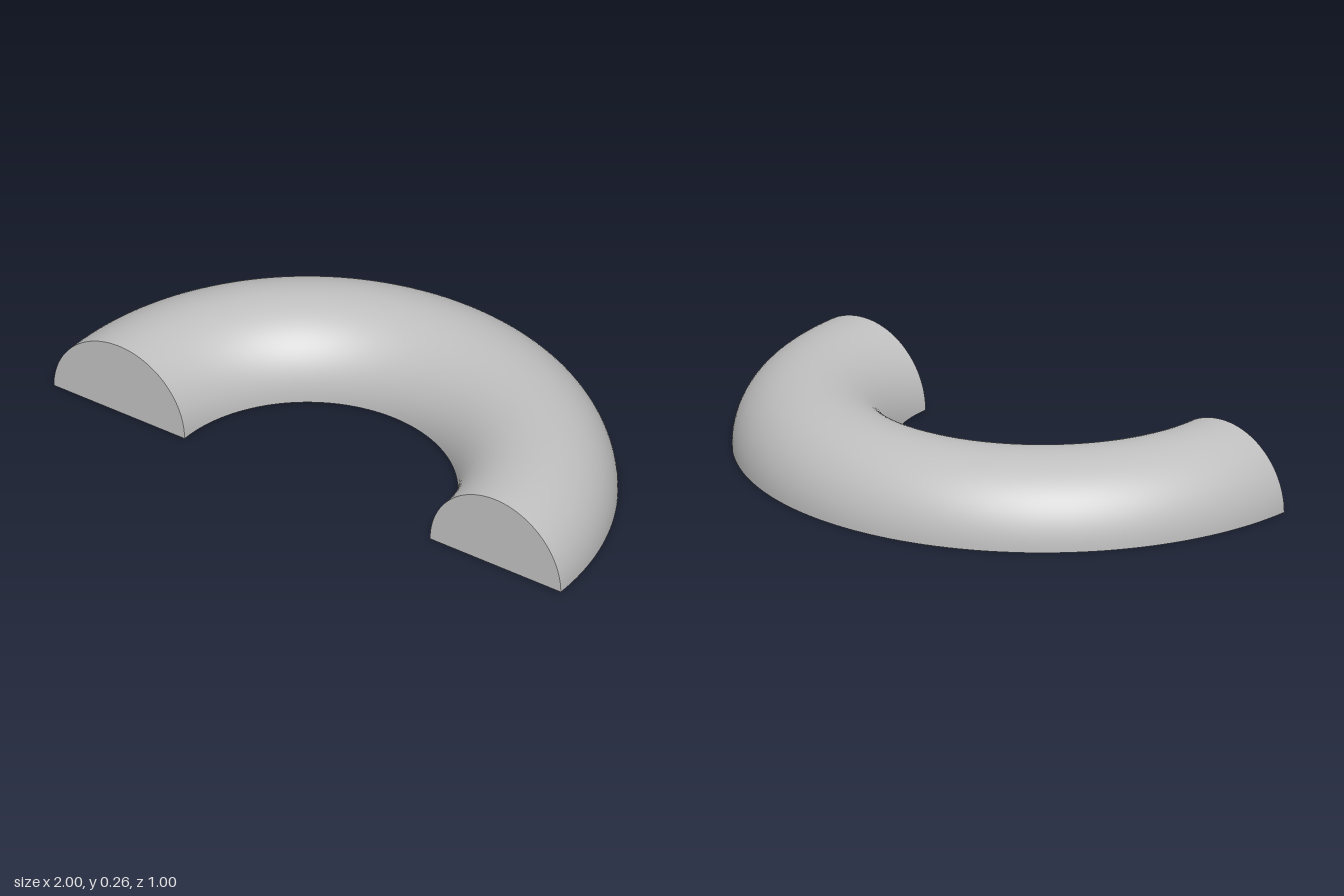
import * as THREE from 'three';
import { toCreasedNormals } from 'three/addons/utils/BufferGeometryUtils.js';

const R = 0.742;        // centreline radius of the bend
const r = 0.258;        // radius of the half-round section
const HOLE_R = 0.068;
const HOLE_DEPTH = 0.15;
const HOLE_ANGLE = THREE.MathUtils.degToRad(35);

export function createModel() {
  const model = new THREE.Group();
  model.name = 'halfRingHandle';
  const grey = new THREE.MeshStandardMaterial({ color: 0xbfbfbf });
  grey.name = 'grey';

  // Everything is built around the bend's centre, then moved forward
  const add = (name, geometry, x = 0, z = 0) => {
    const mesh = new THREE.Mesh(geometry, grey);
    mesh.name = name;
    mesh.position.set(x, 0, z + 0.5);
    model.add(mesh);
  };

  // Rounded body: half-circle profile swept half a turn round the back
  const profile = [];
  for (let i = 0; i <= 48; i++) {
    const a = (i / 48) * Math.PI;
    profile.push(new THREE.Vector2(R + r * Math.cos(a), r * Math.sin(a)));
  }
  add('roundedBody', new THREE.LatheGeometry(profile, 96, Math.PI / 2, Math.PI));

  // Flat underside with two round openings
  const base = new THREE.Shape();
  base.absarc(0, 0, R + r, 0, -Math.PI, true);
  base.absarc(0, 0, R - r, -Math.PI, 0, false);
  const holes = [1, -1].map((side) => new THREE.Vector2(
    side * R * Math.cos(HOLE_ANGLE), -R * Math.sin(HOLE_ANGLE)));
  for (const h of holes) {
    base.holes.push(new THREE.Path().absarc(h.x, h.y, HOLE_R, 0, Math.PI * 2, false));
  }
  add('underside', new THREE.ShapeGeometry(base, 48).rotateX(Math.PI / 2));

  // Blind screw holes, facing inward
  const bore = toCreasedNormals(new THREE.LatheGeometry([
    new THREE.Vector2(0, HOLE_DEPTH),
    new THREE.Vector2(HOLE_R, HOLE_DEPTH),
    new THREE.Vector2(HOLE_R, 0),
  ], 48), 0.6);
  holes.forEach((h, i) => add(i ? 'rightScrewHole' : 'leftScrewHole', bore, h.x, h.y));

  // Flat half-round end faces
  const end = new THREE.Shape().absarc(0, 0, r, 0, Math.PI, false);
  const endFace = new THREE.ShapeGeometry(end, 48);
  add('leftEndFace', endFace, R);
  add('rightEndFace', endFace, -R);

  return model;
}
